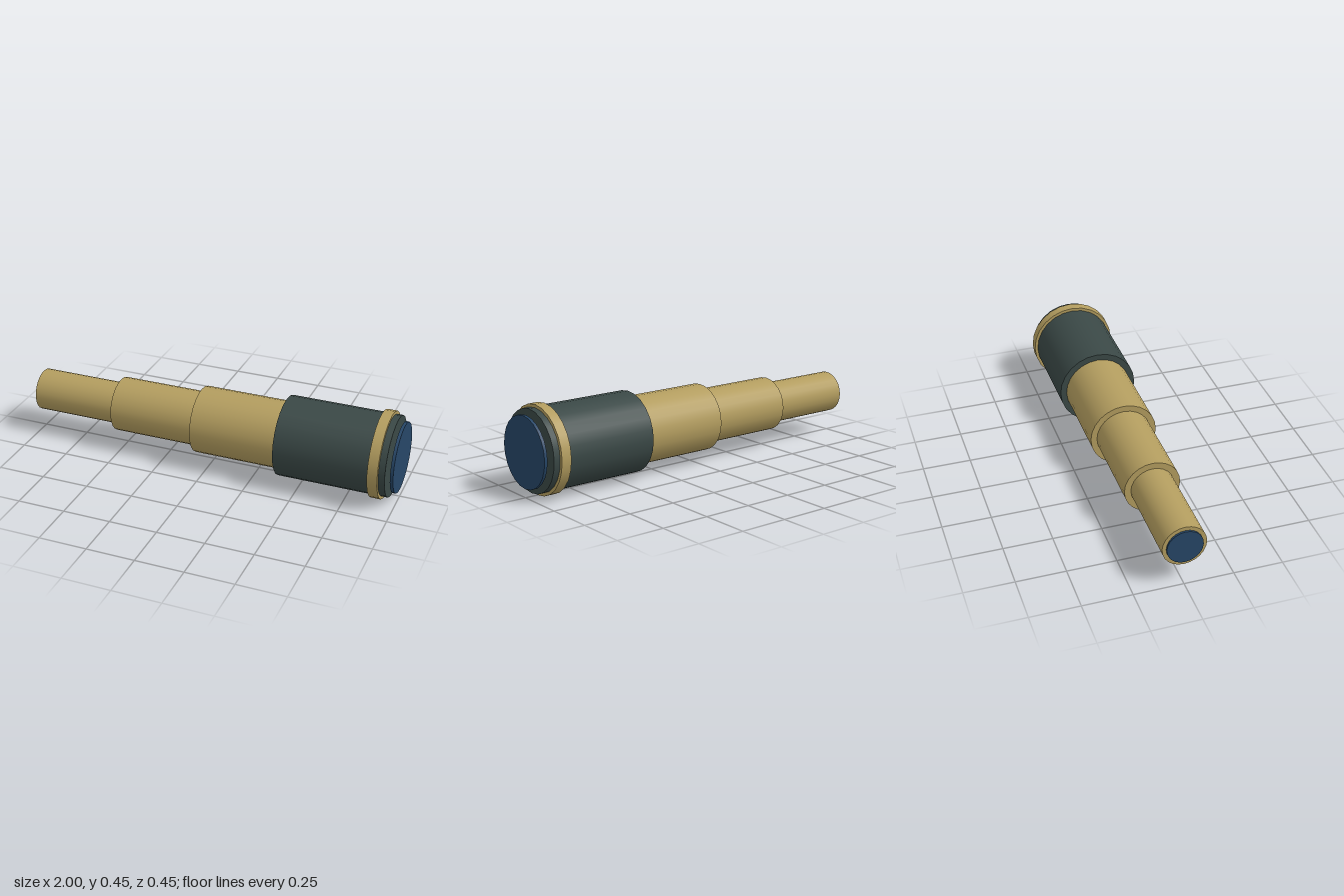
import * as THREE from 'three';

export function createModel() {
  const model = new THREE.Group();
  model.name = 'spyglass';

  const material = (name, color) => {
    const m = new THREE.MeshStandardMaterial({ color });
    m.name = name;
    return m;
  };
  const brass = material('brass', 0xb39d5f);
  const leather = material('dark leather', 0x3a4846);
  const glass = material('blue glass', 0x264667);

  const axisY = 0.224;

  // A closed 24-sided drum lying along x, from x0 to x1
  function drum(name, x0, x1, radius, mat) {
    const geometry = new THREE.CylinderGeometry(radius, radius, x1 - x0, 24);
    geometry.rotateZ(-Math.PI / 2);
    const mesh = new THREE.Mesh(geometry, mat);
    mesh.name = name;
    mesh.position.set((x0 + x1) / 2, axisY, 0);
    model.add(mesh);
  }

  // Telescoping draw tubes, thinnest at the eye end
  [0.11, 0.143, 0.175].forEach((radius, i) => {
    const x0 = -0.99 + i * 0.46;
    drum(`drawTube${i + 1}`, x0, x0 + 0.46, radius, brass);
  });

  // Wrapped main barrel with its brass band
  drum('mainBarrel', 0.39, 0.965, 0.208, leather);
  drum('barrelBand', 0.88, 0.932, 0.224, brass);

  // Lenses at both ends
  drum('eyepieceLens', -1, -0.985, 0.09, glass);
  drum('objectiveLens', 0.984, 1, 0.181, glass);

  return model;
}
